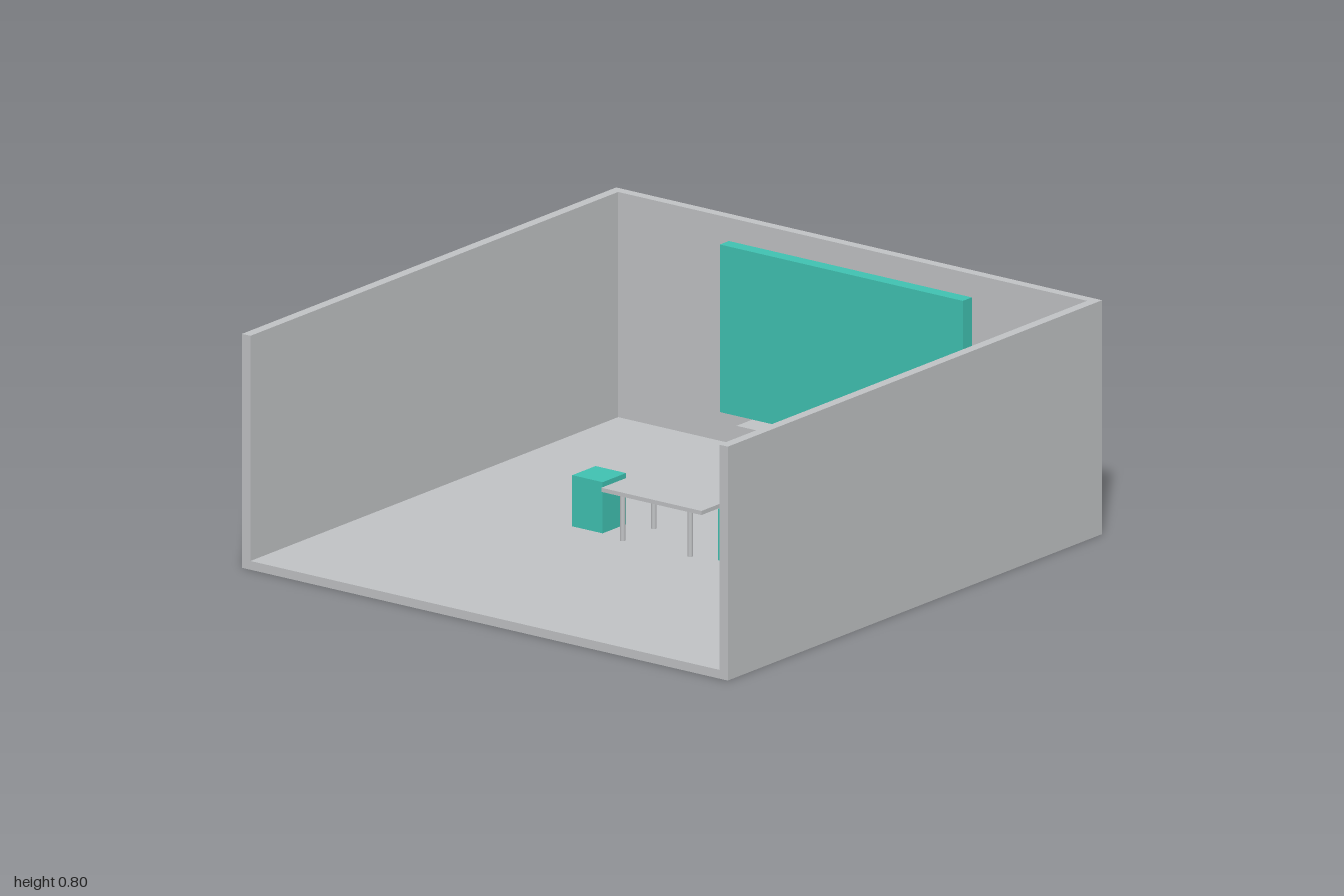
import * as THREE from 'three';

export function createModel() {
  const room = new THREE.Group();
  room.name = 'room';
  const grey = new THREE.MeshStandardMaterial({ name: 'light grey', color: 0xc1c3c5 });
  const teal = new THREE.MeshStandardMaterial({ name: 'teal', color: 0x40c2b2 });

  const FLOOR = 0.03, WALL = 0.035, HEIGHT = 0.8;

  // box given by its extents along each axis
  function box(name, material, [x0, x1], [y0, y1], [z0, z1], parent = room) {
    const mesh = new THREE.Mesh(new THREE.BoxGeometry(x1 - x0, y1 - y0, z1 - z0), material);
    mesh.position.set((x0 + x1) / 2, (y0 + y1) / 2, (z0 + z1) / 2);
    mesh.name = name;
    parent.add(mesh);
  }

  // shell, open at the front and top
  box('floor', grey, [-1, 1], [0, FLOOR], [-1, 1]);
  box('backWall', grey, [-1 + WALL, 1 - WALL], [FLOOR, HEIGHT], [-1, -1 + WALL]);
  box('rightWall', grey, [-1, -1 + WALL], [FLOOR, HEIGHT], [-1, 1]);
  box('leftWall', grey, [1 - WALL, 1], [FLOOR, HEIGHT], [-1, 1]);

  // display panel and the shelf below it
  box('screen', teal, [-0.5, 0.5], [0.152, 0.725], [-0.953, -0.905]);
  box('shelf', grey, [-0.372, 0.372], [0.104, 0.149], [-1 + WALL, -0.828]);

  // table with four round legs
  const table = new THREE.Group();
  table.name = 'table';
  room.add(table);
  box('tableTop', grey, [-0.206, 0.206], [0.19, 0.204], [-0.11, 0.11], table);
  const legGeometry = new THREE.CylinderGeometry(0.009, 0.009, 0.19 - FLOOR, 16);
  for (const x of [-0.139, 0.139]) {
    for (const z of [-0.083, 0.083]) {
      const leg = new THREE.Mesh(legGeometry, grey);
      leg.name = 'tableLeg';
      leg.position.set(x, (0.19 + FLOOR) / 2, z);
      table.add(leg);
    }
  }

  // block stools at both ends of the table
  for (const [name, x] of [['rightStool', -0.3], ['leftStool', 0.3]]) {
    box(name, teal, [x - 0.0625, x + 0.0625], [FLOOR, 0.205], [-0.0625, 0.0625]);
  }

  return room;
}
